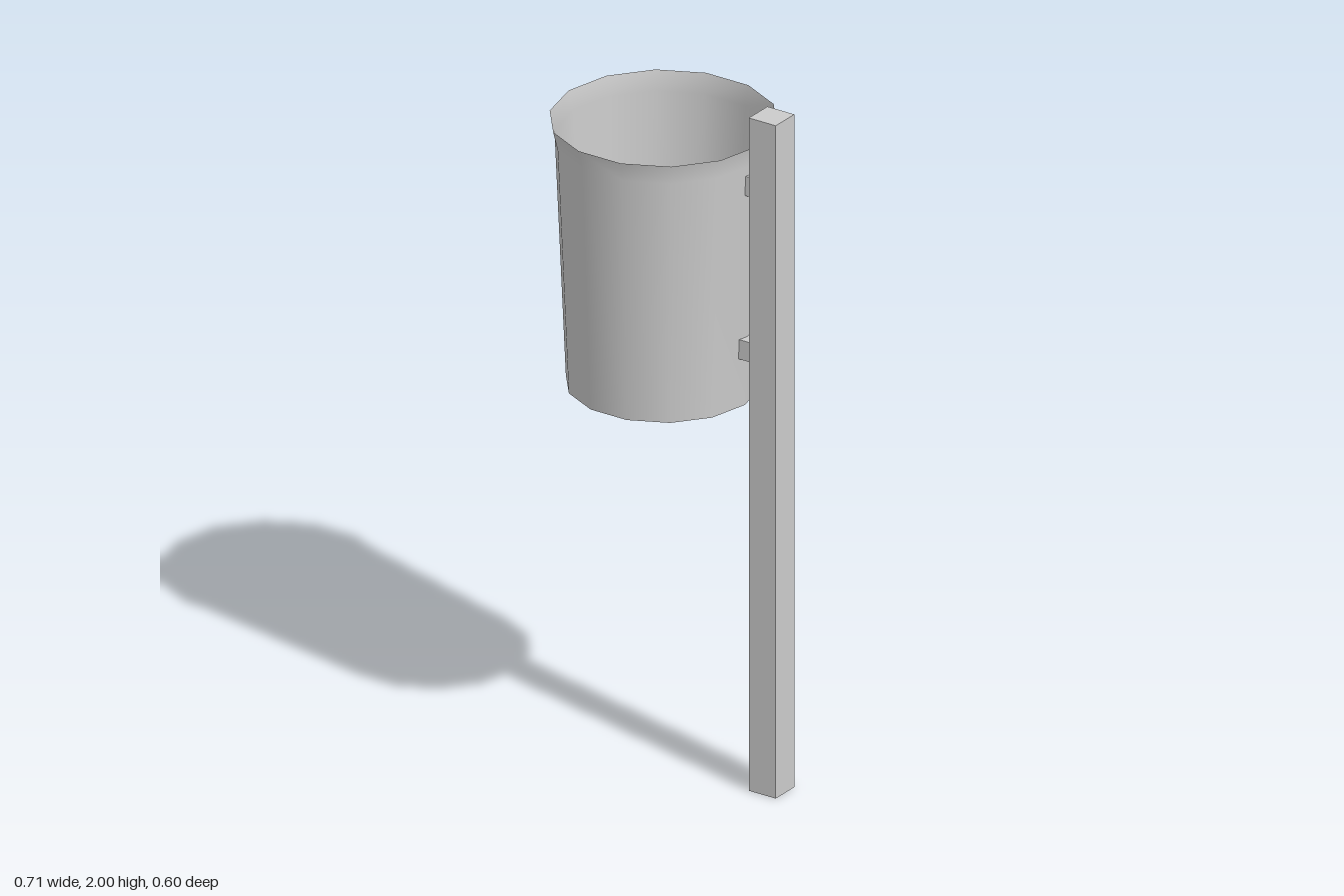
import * as THREE from 'three';

export function createModel() {
  const model = new THREE.Group();
  const solid = new THREE.MeshStandardMaterial({ color: 0xcccccc });
  const thin = new THREE.MeshStandardMaterial({ color: 0xcccccc, side: THREE.DoubleSide });
  const SIDES = 14, BIN_X = -0.045, BIN_BOTTOM = 1.118;

  function add(name, geometry, material, x, y, z, parent = model) {
    const mesh = new THREE.Mesh(geometry, material);
    mesh.name = name;
    mesh.position.set(x, y, z);
    parent.add(mesh);
    return mesh;
  }

  // Square post standing on the ground
  add('post', new THREE.BoxGeometry(0.088, 2, 0.088), solid, 0.309, 1, 0);

  // Tapered open bin: thin wall with a flared rim, closed by a flat floor
  const bin = new THREE.Group();
  bin.name = 'bin';
  bin.position.set(BIN_X, BIN_BOTTOM, 0);
  model.add(bin);
  const profile = [[0.266, 0], [0.297, 0.725], [0.31, 0.782]].map(([r, y]) => new THREE.Vector2(r, y));
  add('binWall', new THREE.LatheGeometry(profile, SIDES, Math.PI / 2), thin, 0, 0, 0, bin);
  add('binFloor', new THREE.CircleGeometry(0.266, SIDES).rotateX(Math.PI / 2), thin, 0, 0, 0, bin);

  // Two brackets running from the post through the bin wall
  for (const [name, y] of [['upperBracket', 1.786], ['lowerBracket', 1.295]]) {
    add(name, new THREE.BoxGeometry(0.09, 0.058, 0.058), solid, 0.222, y, 0);
  }
  return model;
}
